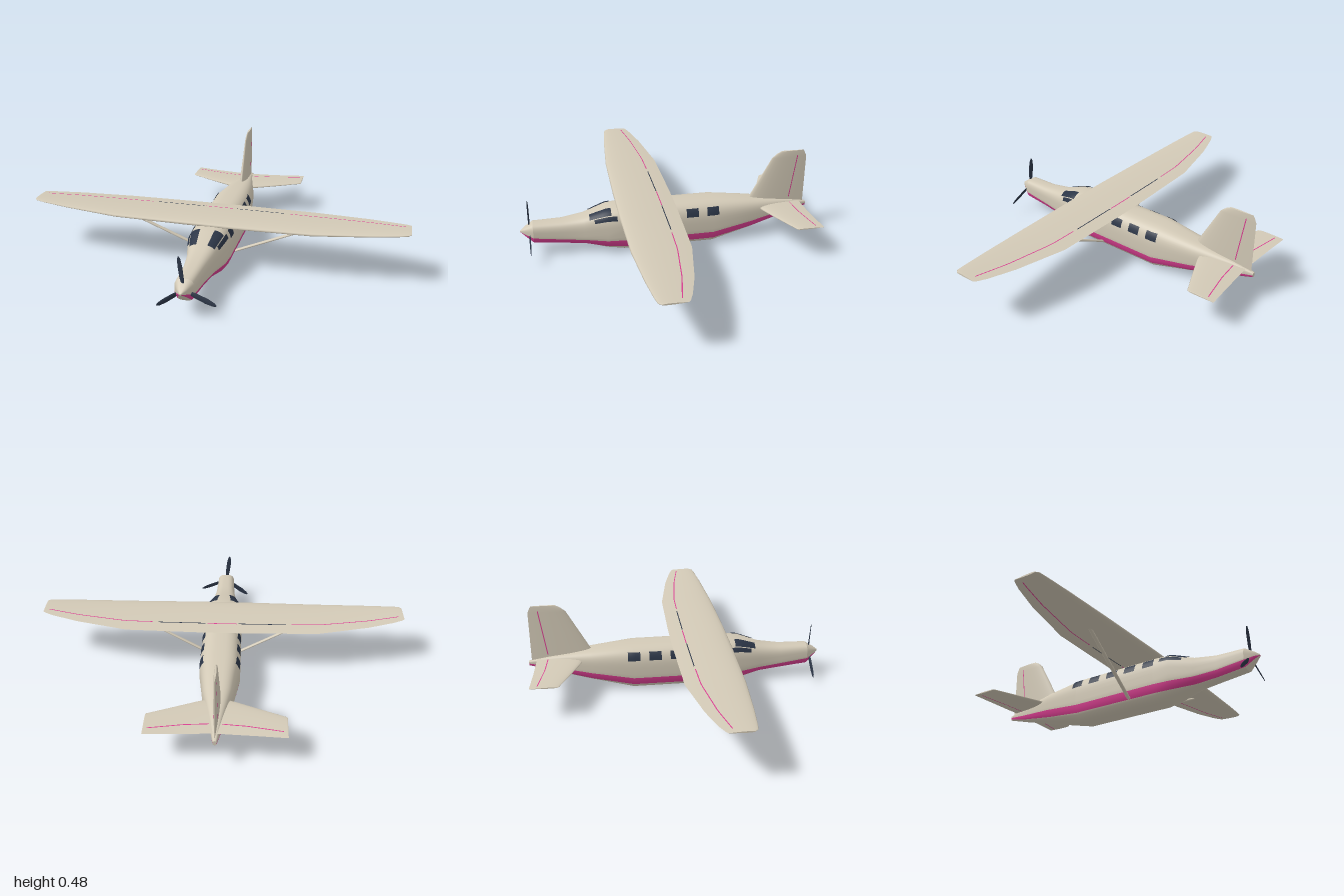
import * as THREE from 'three';

const paint = new THREE.MeshStandardMaterial({ color: 0xd2c9b6 });
paint.name = 'cream paint';
const pink = new THREE.MeshStandardMaterial({ color: 0xd83e90, side: THREE.DoubleSide });
pink.name = 'pink trim';
const navy = new THREE.MeshStandardMaterial({ color: 0x2b3546, side: THREE.DoubleSide });
navy.name = 'dark navy';

// Linear interpolation in rows sorted by their first column
function at(rows, s) {
  let i = 0;
  while (i < rows.length - 2 && s > rows[i + 1][0]) i++;
  const k = THREE.MathUtils.clamp((s - rows[i][0]) / (rows[i + 1][0] - rows[i][0]), 0, 1);
  return rows[i].map((v, c) => v + (rows[i + 1][c] - v) * k);
}

// Skin through rings of points; slot(j) picks the material of column j
function loft(rings, slot = () => 0, caps = true) {
  const n = rings[0].length, pos = rings.flat(2), index = [[], []];
  for (let i = 0; i < rings.length - 1; i++) {
    for (let j = 0; j < n - 1; j++) {
      const a = i * n + j, c = a + n;
      index[slot(j)].push(a, a + 1, c, a + 1, c + 1, c);
    }
  }
  if (caps) {
    [rings[0], rings[rings.length - 1]].forEach((ring, end) => {
      const base = pos.length / 3;
      pos.push(...ring.flat());
      pos.push(...[0, 1, 2].map(c => ring.reduce((sum, p) => sum + p[c], 0) / n));
      for (let j = 0; j < n - 1; j++) {
        index[0].push(base + j + (end ? 0 : 1), base + j + (end ? 1 : 0), base + n);
      }
    });
  }
  const g = new THREE.BufferGeometry();
  g.setAttribute('position', new THREE.Float32BufferAttribute(pos, 3));
  g.setIndex([...index[0], ...index[1]]);
  g.addGroup(0, index[0].length, 0);
  if (index[1].length) g.addGroup(index[0].length, index[1].length, 1);
  g.computeVertexNormals();
  return g;
}

// Fuselage stations: z, bottom, top, half width, stripe low, stripe high
const BODY = [
  [-0.795, 0.147, 0.172, 0.010, 0.150, 0.160],
  [-0.68, 0.115, 0.197, 0.030, 0.122, 0.144],
  [-0.46, 0.059, 0.230, 0.078, 0.076, 0.114],
  [-0.24, 0.004, 0.254, 0.107, 0.042, 0.084],
  [0.25, 0.004, 0.256, 0.107, 0.040, 0.084],
  [0.34, 0.020, 0.250, 0.101, 0.043, 0.084],
  [0.46, 0.049, 0.208, 0.070, 0.055, 0.088],
  [0.58, 0.060, 0.191, 0.055, 0.066, 0.097],
  [0.73, 0.076, 0.189, 0.049, 0.083, 0.116],
];
const NOSE = [
  BODY[BODY.length - 1],
  [0.775, 0.118, 0.162, 0.024, 0.121, 0.133],
  [0.798, 0.138, 0.145, 0.004, 0.139, 0.140],
];
const POWER = 3;
const angleAt = ([, b, t], y) => {
  const v = THREE.MathUtils.clamp((2 * y - b - t) / (t - b), -1, 1);
  return Math.sign(v) * Math.asin(Math.abs(v) ** (POWER / 2));
};
function skinPoint([z, b, t, w], a, grow = 0) {
  const s = Math.sin(a), e = 2 / POWER;
  return [(w + grow) * Math.max(0, Math.cos(a)) ** e,
    (b + t) / 2 + ((t - b) / 2 + grow) * Math.sign(s) * Math.abs(s) ** e, z];
}
function hull(rows, caps) {
  const low = 7, mid = 2, high = 14, half = low + mid + high;
  const rings = rows.map(row => {
    const stops = [-Math.PI / 2, angleAt(row, row[4]), angleAt(row, row[5]), Math.PI / 2];
    const ring = [];
    [low, mid, high].forEach((n, k) => {
      for (let i = 0; i < n; i++) ring.push(skinPoint(row, stops[k] + (stops[k + 1] - stops[k]) * i / n));
    });
    ring.push(skinPoint(row, Math.PI / 2));
    for (let i = half - 1; i >= 0; i--) ring.push([-ring[i][0], ring[i][1], ring[i][2]]);
    return ring;
  });
  return loft(rings, j => {
    const k = j < half ? j : 2 * half - 1 - j;
    return k >= low && k < low + mid ? 1 : 0;
  }, caps);
}

// Window pane hugging the fuselage; edge(z) gives its two angles
function pane(z0, z1, edge, side) {
  const rows = [];
  for (let i = 0; i <= 5; i++) {
    const row = at(BODY, z0 + (z1 - z0) * i / 5), [a0, a1] = edge(row);
    rows.push(Array.from({ length: 7 }, (_, j) => {
      const p = skinPoint(row, a0 + (a1 - a0) * j / 6, 0.003);
      return [p[0] * side, p[1], p[2]];
    }));
  }
  const g = loft(rows, () => 0, false);
  if (side < 0) {
    g.setIndex([...g.index.array].reverse());
    g.computeVertexNormals();
  }
  return g;
}

// Aerofoil surfaces, stations: span, leading z, trailing z, height, thickness
const profile = t => 5 * (0.2969 * Math.sqrt(t) - 0.126 * t - 0.3516 * t * t + 0.2843 * t ** 3 - 0.1036 * t ** 4);
function foil(rows, n = 12) {
  return loft(rows.map(([s, le, te, y, th]) => Array.from({ length: 2 * n + 1 }, (_, i) => {
    const t = (1 + Math.cos(Math.PI * i / n)) / 2;
    return [s, y + (i < n ? 1 : -1) * th * profile(t), le + (te - le) * t];
  })));
}
const mirrorRows = rows => [...rows.slice(1).reverse().map(([s, ...r]) => [-s, ...r]), ...rows];

// Thin control-surface line along a foil, through [span, z] points
function seam(rows, path, side) {
  const strip = [];
  const steps = 16, s0 = path[0][0], s1 = path[path.length - 1][0];
  for (let i = 0; i <= steps; i++) {
    const s = s0 + (s1 - s0) * i / steps, z = at(path, s)[1];
    const [, le, te, y, th] = at(rows, s);
    strip.push([0.0025, -0.0025].map(d =>
      [s, y + side * (th * profile((le - z - d) / (le - te)) + 0.0012), z + d]));
  }
  return loft(strip, () => 0, false);
}

const WING = mirrorRows([
  [0, 0.283, -0.032, 0.257, 0.034], [0.12, 0.283, -0.031, 0.257, 0.034],
  [0.52, 0.276, -0.022, 0.258, 0.030], [0.80, 0.254, 0.030, 0.272, 0.020],
  [0.94, 0.238, 0.070, 0.281, 0.014], [0.985, 0.230, 0.088, 0.285, 0.011],
  [1.0, 0.215, 0.098, 0.286, 0.008],
]);
const TAIL = mirrorRows([
  [0, -0.49, -0.752, 0.180, 0.024], [0.09, -0.52, -0.757, 0.180, 0.023],
  [0.2, -0.568, -0.764, 0.182, 0.018], [0.335, -0.628, -0.776, 0.186, 0.010],
  [0.34, -0.635, -0.774, 0.186, 0.006],
]);
const FIN = [
  [0.165, -0.425, -0.78, 0, 0.036], [0.23, -0.463, -0.78, 0, 0.034],
  [0.45, -0.583, -0.78, 0, 0.018], [0.475, -0.612, -0.769, 0, 0.014],
  [0.487, -0.635, -0.762, 0, 0.010],
];

export function createModel() {
  const model = new THREE.Group();
  model.name = 'highWingAirplane';
  const add = (name, geometry, material) => {
    const m = new THREE.Mesh(geometry, material);
    m.name = name;
    model.add(m);
    return m;
  };

  // Body
  add('fuselage', hull(BODY, true), [paint, pink]);
  add('noseCone', hull(NOSE, false), [paint, pink]);

  // Flying surfaces
  add('wing', foil(WING), paint);
  add('tailplane', foil(TAIL), paint);
  add('fin', foil(FIN).rotateZ(Math.PI / 2), paint);

  // Control-surface lines
  for (const face of [1, -1]) {
    add('wingCentreLine', seam(WING, [[-0.08, 0.045], [0.08, 0.045]], face), pink);
    add('rudderLine', seam(FIN, [[0.21, -0.692], [0.46, -0.728]], face).rotateZ(Math.PI / 2), pink);
    for (const side of [1, -1]) {
      const line = (name, rows, path, material) => add(name, seam(rows,
        path.map(([s, z]) => [s * side, z]).sort((a, b) => a[0] - b[0]), face), material);
      line('flapLine', WING, [[0.09, 0.046], [0.35, 0.048]], navy);
      line('aileronLine', WING, [[0.38, 0.05], [0.54, 0.054], [0.8, 0.087], [0.97, 0.122]], pink);
      line('elevatorLine', TAIL, [[0.03, -0.693], [0.15, -0.704], [0.32, -0.736]], pink);
    }
  }

  for (const side of [1, -1]) {
    // Cabin windows
    for (let i = 0; i < 5; i++) {
      const z = 0.22 - i * 0.114;
      add('cabinWindow', pane(z - 0.033, z + 0.033, r => [angleAt(r, 0.186), angleAt(r, 0.228)], side), navy);
    }
    // Cockpit glazing
    add('windshield', pane(0.315, 0.43, () => [0.78, 1.36], side), navy);
    add('cockpitWindow', pane(0.285, 0.405, () => [0.44, 0.72], side), navy);

    // Wing strut
    const foot = new THREE.Vector3(side * 0.095, 0.045, 0.098), head = new THREE.Vector3(side * 0.525, 0.252, 0.155);
    const strut = add('wingStrut', new THREE.CylinderGeometry(0.008, 0.008, foot.distanceTo(head), 12), paint);
    strut.geometry.scale(0.8, 1, 1.3);
    strut.position.copy(foot).lerp(head, 0.5);
    strut.quaternion.setFromUnitVectors(new THREE.Vector3(0, 1, 0), head.clone().sub(foot).normalize());
  }

  // Three-bladed propeller
  const blade = foil([
    [0.015, 0.006, -0.006, 0, 0.008], [0.06, 0.012, -0.012, 0, 0.006],
    [0.12, 0.013, -0.013, 0, 0.004], [0.155, 0.009, -0.009, 0, 0.003], [0.168, 0.003, -0.003, 0, 0.002],
  ], 6).rotateX(1.3);
  for (const degrees of [97, 217, 337]) {
    const m = add('propellerBlade', blade, navy);
    m.position.set(0, 0.141, 0.748);
    m.rotation.z = THREE.MathUtils.degToRad(degrees);
  }
  return model;
}
